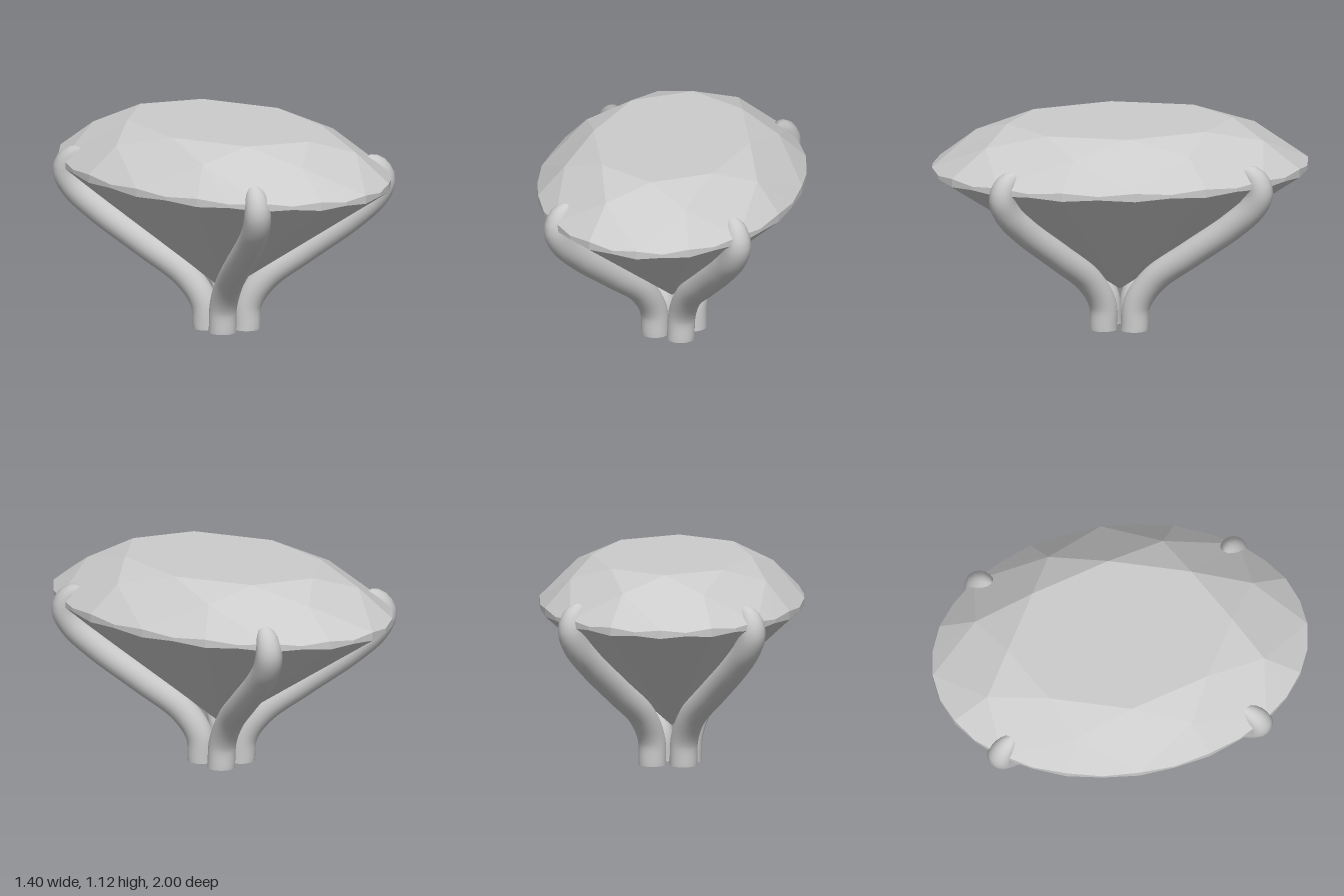
import * as THREE from 'three';

const RX = 0.7, RZ = 1; // half axes of the oval

// Point on a scaled copy of the oval; angle is measured in 32nds of a turn from +z towards +x
function oval(step, scale, y) {
  const a = (step / 32) * Math.PI * 2;
  return new THREE.Vector3(Math.sin(a) * RX * scale, y, Math.cos(a) * RZ * scale);
}

// Oval brilliant cut: table, crown facets, scalloped girdle, pointed pavilion
function createGem(material) {
  const pos = [];
  const tri = (...pts) => pts.forEach((p) => pos.push(p.x, p.y, p.z));
  const table = (i) => oval(i * 4, 0.6, 1.115);
  const star = (i) => oval(i * 4 + 2, 0.8, 1.037);
  const upper = (j) => oval(j, 1, j % 2 ? 0.876 : 0.89);
  const lower = (j) => oval(j, 1, j % 2 ? 0.857 : 0.845);
  const centre = new THREE.Vector3(0, 1.115, 0);
  const culet = new THREE.Vector3(0, 0.2, 0);

  for (let i = 0; i < 8; i++) {
    const j = i * 4;
    tri(centre, table(i), table(i + 1));
    tri(table(i), star(i), table(i + 1));
    // kite facet
    tri(table(i), star(i - 1), upper(j));
    tri(table(i), upper(j), star(i));
    // upper girdle facets
    for (let k = 0; k < 4; k++) tri(star(i), upper(j + k), upper(j + k + 1));
  }
  for (let j = 0; j < 32; j++) {
    // girdle band and pavilion
    tri(lower(j), lower(j + 1), upper(j + 1));
    tri(lower(j), upper(j + 1), upper(j));
    tri(culet, lower(j + 1), lower(j));
  }
  const geo = new THREE.BufferGeometry();
  geo.setAttribute('position', new THREE.Float32BufferAttribute(pos, 3));
  geo.computeVertexNormals();
  const gem = new THREE.Mesh(geo, material);
  gem.name = 'gem';
  return gem;
}

// Centre line of one prong, for the +x +z corner
const PRONG_PATH = [
  [0.075, 0, 0.08], [0.082, 0.14, 0.09], [0.13, 0.28, 0.17], [0.25, 0.44, 0.345],
  [0.385, 0.62, 0.55], [0.458, 0.74, 0.655], [0.485, 0.83, 0.687],
  [0.472, 0.9, 0.665], [0.43, 0.945, 0.605],
];

// A bent round wire with a rounded, tapering tip and a flat foot
function createProng(name, sx, sz, foot, tip, material) {
  const R = 0.073, SEG = 48, SIDES = 20;
  const shift = new THREE.Vector2();
  const curve = new THREE.CatmullRomCurve3(PRONG_PATH.map(([x, y, z]) => {
    shift.set(...foot).lerp(new THREE.Vector2(...tip), Math.min(1, y / 0.8));
    return new THREE.Vector3(x * sx + shift.x, y, z * sz + shift.y);
  }));
  const geo = new THREE.TubeGeometry(curve, SEG, R, SIDES);
  const p = geo.attributes.position;
  const v = new THREE.Vector3();
  for (let i = 0; i <= SEG; i++) {
    const c = curve.getPointAt(i / SEG);
    const s = Math.max(0, (i / SEG - 0.84) / 0.16);
    const k = Math.sqrt(Math.max(0, 1 - s * s));
    for (let j = 0; j <= SIDES; j++) {
      const n = i * (SIDES + 1) + j;
      v.fromBufferAttribute(p, n).sub(c).multiplyScalar(k).add(c);
      p.setXYZ(n, v.x, i === 0 ? 0 : v.y, v.z);
    }
  }
  const group = new THREE.Group();
  group.name = name;
  const wire = new THREE.Mesh(geo, material);
  wire.name = name + 'Wire';
  const cap = new THREE.Mesh(new THREE.CircleGeometry(R, SIDES).rotateX(Math.PI / 2), material);
  cap.name = name + 'Foot';
  cap.position.copy(curve.getPoint(0)).setY(0);
  group.add(wire, cap);
  return group;
}

export function createModel() {
  const model = new THREE.Group();
  model.name = 'ovalGemSetting';
  const gemMaterial = new THREE.MeshStandardMaterial({ color: 0xcccccc, flatShading: true });
  const metal = new THREE.MeshStandardMaterial({ color: 0xcccccc });
  model.add(createGem(gemMaterial));

  // Each prong: name, corner signs, small hand-set shifts of foot and tip
  const prongs = [
    ['frontLeftProng', 1, 1, [-0.01, 0.015], [0, -0.005]],
    ['backLeftProng', 1, -1, [0.025, 0.015], [0.005, 0]],
    ['frontRightProng', -1, 1, [-0.005, -0.025], [-0.005, -0.015]],
    ['backRightProng', -1, -1, [0.01, 0.01], [0.015, -0.02]],
  ];
  for (const args of prongs) model.add(createProng(...args, metal));
  return model;
}
